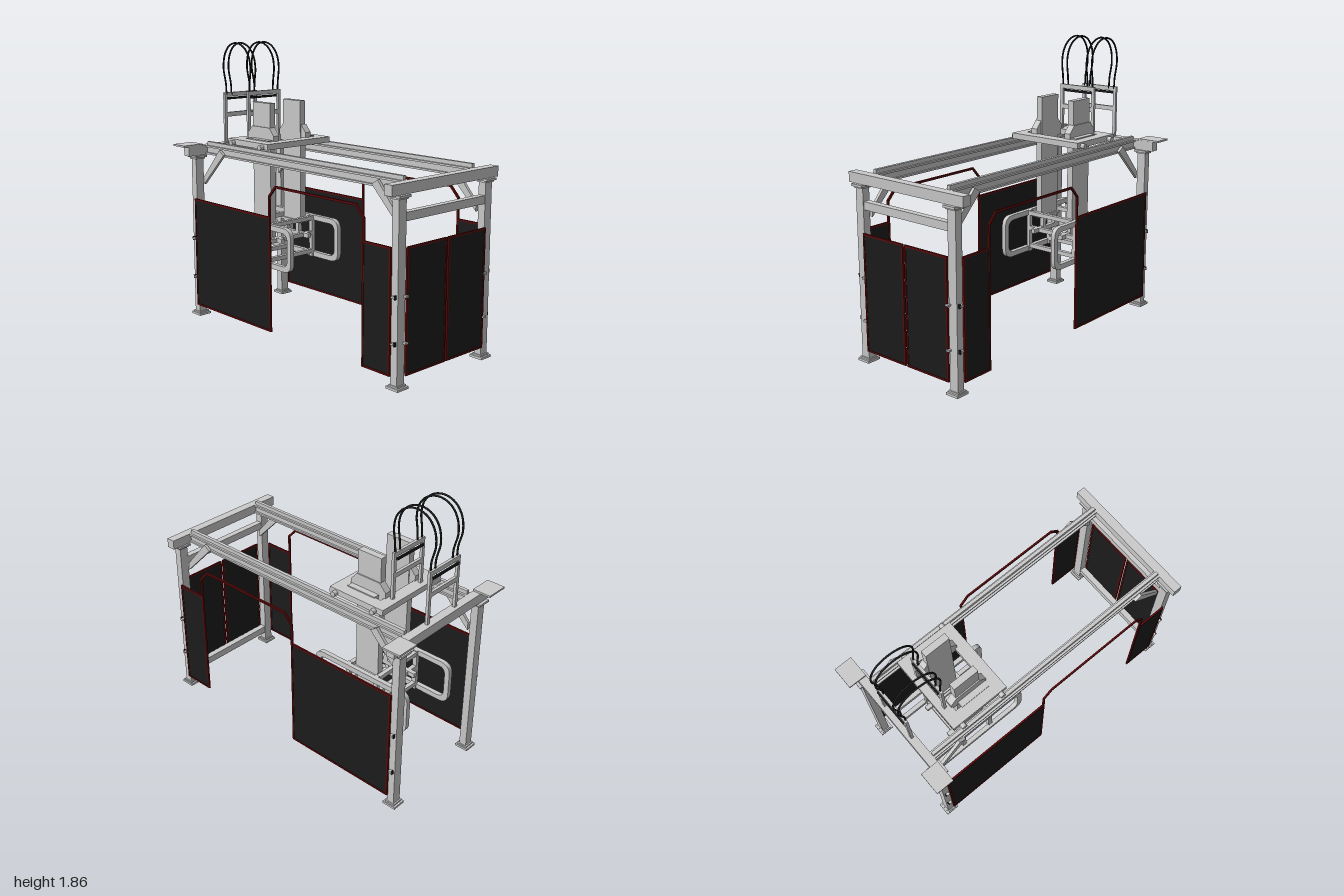
import * as THREE from 'three';

const paint = (color) => new THREE.MeshStandardMaterial({ color });

export function createModel() {
  const model = new THREE.Group();
  const grey = paint(0xcccccc);
  const red = paint(0x5c0a0a);
  const black = paint(0x1c1c1c);

  const add = (name, geometry, material = grey, parent = model) => {
    const mesh = new THREE.Mesh(geometry, material);
    mesh.name = name;
    parent.add(mesh);
    return mesh;
  };
  // Box given by its extents on each axis
  const box = (name, [x0, x1], [y0, y1], [z0, z1], material = grey, parent = model) => {
    const mesh = add(name, new THREE.BoxGeometry(x1 - x0, y1 - y0, z1 - z0), material, parent);
    mesh.position.set((x0 + x1) / 2, (y0 + y1) / 2, (z0 + z1) / 2);
    return mesh;
  };
  // Outline in the x-y plane, extruded along z between z0 and z1
  const plate = (name, points, z0, z1, material = grey, hole = null) => {
    const shape = new THREE.Shape(points.map(([x, y]) => new THREE.Vector2(x, y)));
    if (hole) shape.holes.push(hole);
    const mesh = add(name, new THREE.ExtrudeGeometry(shape, { depth: z1 - z0, bevelEnabled: false }), material);
    mesh.position.z = z0;
    return mesh;
  };
  // Extent of given half width, and extent mirrored to one side
  const around = (c, h) => [c - h, c + h];
  const side = (s, a, b) => (s > 0 ? [a, b] : [-b, -a]);

  // Posts with feet, head plates and panel brackets
  for (const x of [-0.905, 0.952]) {
    for (const s of [1, -1]) {
      const z = s * 0.37;
      box('post', around(x, 0.025), [0.02, 1.1], around(z, 0.03));
      box('footPlate', around(x, 0.046), [0, 0.015], around(z, 0.045));
      box('footCollar', around(x, 0.034), [0.015, 0.025], around(z, 0.038));
      box('headPlate', around(x, 0.046), [1.098, 1.112], around(z, 0.045));
      box('headCollar', around(x, 0.034), [1.088, 1.098], around(z, 0.038));
      for (const y of [0.27, 0.54]) {
        box('panelBracket', around(x, 0.012), around(y, 0.006), side(s, 0.395, 0.418));
        box('bracketBolt', around(x + Math.sign(x) * 0.012, 0.004), around(y, 0.012), side(s, 0.398, 0.416), black);
        if (x > 0) {
          box('endPanelBracket', [0.97, 0.998], around(y, 0.006), around(s * 0.343, 0.012));
        }
      }
    }
  }

  // End beams
  box('endBeam', [-0.933, -0.877], [1.112, 1.175], [-0.457, 0.457]);
  box('endBeam', [0.918, 0.977], [1.112, 1.175], [-0.457, 0.457]);
  box('upperTie', [0.93, 0.972], [0.96, 1.01], [-0.34, 0.34]);
  box('lowerTie', [0.93, 0.972], [0.085, 0.135], [-0.34, 0.34]);

  for (const s of [1, -1]) {
    // Top plates at the left corners
    box('cornerPlate', [-1, -0.878], [1.175, 1.187], side(s, 0.345, 0.495));

    // Long runway beams: web, flanges and running rail
    const beam = [-0.877, 0.918];
    box('runwayWeb', beam, [1.115, 1.175], side(s, 0.283, 0.307));
    box('runwayFlange', beam, [1.115, 1.127], side(s, 0.27, 0.32));
    box('runwayFlange', beam, [1.163, 1.175], side(s, 0.27, 0.32));
    box('runningRail', beam, [1.175, 1.2], side(s, 0.284, 0.306));

    // Corner braces
    for (const [e, x] of [[1, -0.88], [-1, 0.927]]) {
      const pts = [[x, 0.91], [x + e * 0.22, 1.13], [x + e * 0.175, 1.16], [x, 0.96]];
      const [z0, z1] = side(s, 0.318, 0.338);
      plate('cornerBrace', e > 0 ? pts : pts.reverse(), z0, z1);
    }
  }

  // Guard panels: dark sheet within a red frame
  const guard = (width, height) => {
    const g = new THREE.Group();
    g.name = 'guardPanel';
    const t = 0.012, w = width / 2, h = height / 2;
    box('sheet', [-w + t, w - t], [-h + t, h - t], [-0.003, 0.003], black, g);
    for (const e of [1, -1]) {
      box('frameUpright', side(e, w - t, w), [-h, h], [-0.006, 0.006], red, g);
      box('frameRail', [-w + t, w - t], side(e, h - t, h), [-0.006, 0.006], red, g);
    }
    model.add(g);
    return g;
  };
  const bottom = 0.075, top = 0.82, mid = (bottom + top) / 2;
  for (const s of [1, -1]) {
    for (const [x0, x1] of [[-0.887, -0.098], [0.712, 0.932]]) {
      guard(x1 - x0, top - bottom).position.set((x0 + x1) / 2, mid, s * 0.409);
    }
    // Arch over the side opening
    const arch = [[-0.11, 0.82], [-0.098, 0.82], [-0.098, 0.947], [-0.042, 1.009], [0.654, 1.009],
      [0.712, 0.947], [0.712, 0.82], [0.726, 0.82], [0.726, 0.953], [0.66, 1.023], [-0.047, 1.023], [-0.11, 0.953]];
    plate('openingArch', arch, s * 0.409 - 0.006, s * 0.409 + 0.006, red);
    // Half of the end wall
    const end = guard(0.333, top - bottom);
    end.rotation.y = Math.PI / 2;
    end.position.set(0.984, mid, s * 0.173);
  }

  // Carriage frame with rollers
  for (const s of [1, -1]) {
    box('carriageSideBeam', [-0.61, -0.37], [1.2, 1.238], side(s, 0.19, 0.27));
    box('columnSeat', [-0.57, -0.365], [1.2, 1.245], side(s, 0.155, 0.2));
    for (const x of [-0.63, -0.335]) {
      const roller = add('roller', new THREE.CylinderGeometry(0.017, 0.017, 0.03, 20));
      roller.rotation.x = Math.PI / 2;
      roller.position.set(x, 1.213, s * 0.283);
    }
  }
  box('carriageCrossBeam', [-0.692, -0.61], [1.2, 1.238], [-0.27, 0.27]);
  box('carriageCrossBeam', [-0.37, -0.287], [1.2, 1.238], [-0.27, 0.27]);

  // Lifting columns and their guide plates
  for (const s of [1, -1]) {
    box('liftColumn', [-0.575, -0.4], [0.67, 1.48], side(s, 0.108, 0.152));
    const [z0, z1] = side(s, 0.114, 0.16);
    plate('columnGuide', [[-0.62, 1.2], [-0.355, 1.2], [-0.355, 1.272], [-0.4, 1.322],
      [-0.575, 1.322], [-0.62, 1.272]], z0, z1);
  }

  // Hose stands
  for (const [x, y0, y1] of [[-0.902, 1.175, 1.515], [-0.648, 1.238, 1.54]]) {
    for (const s of [1, -1]) {
      box('standUpright', around(x, 0.009), [y0, y1], side(s, 0.118, 0.14));
    }
    box('standTopBar', around(x, 0.009), [y1 - 0.028, y1], [-0.14, 0.14]);
    box('standMiddleBar', around(x, 0.009), [y1 - 0.165, y1 - 0.135], [-0.12, 0.12]);
    box('hoseClampStrip', around(x - 0.013, 0.005), [y1 - 0.05, y1 - 0.035], [-0.12, 0.12], black);
  }

  // Hoses arching between the stands
  const hosePath = [[-0.897, 1.5], [-0.9, 1.57], [-0.924, 1.68], [-0.908, 1.77], [-0.86, 1.83], [-0.785, 1.853],
    [-0.705, 1.83], [-0.65, 1.77], [-0.632, 1.69], [-0.643, 1.6], [-0.648, 1.53]];
  for (const z of [-0.122, -0.08, 0.08, 0.122]) {
    const curve = new THREE.CatmullRomCurve3(hosePath.map(([x, y]) => new THREE.Vector3(x, y, z)));
    add('hose', new THREE.TubeGeometry(curve, 48, 0.006, 8), black);
  }

  // Gripper: two rounded clamp loops joined by a frame
  const roundedOutline = (x0, x1, y0, y1, r, path) => {
    path.moveTo(x0 + r, y0);
    path.lineTo(x1 - r, y0);
    path.quadraticCurveTo(x1, y0, x1, y0 + r);
    path.lineTo(x1, y1 - r);
    path.quadraticCurveTo(x1, y1, x1 - r, y1);
    path.lineTo(x0 + r, y1);
    path.quadraticCurveTo(x0, y1, x0, y1 - r);
    path.lineTo(x0, y0 + r);
    path.quadraticCurveTo(x0, y0, x0 + r, y0);
    return path;
  };
  for (const s of [1, -1]) {
    const loop = roundedOutline(-0.86, -0.125, 0.41, 0.7, 0.07, new THREE.Shape());
    loop.holes.push(roundedOutline(-0.825, -0.16, 0.445, 0.665, 0.05, new THREE.Path()));
    const clamp = add('clampLoop', new THREE.ExtrudeGeometry(loop, { depth: 0.03, bevelEnabled: false, curveSegments: 8 }));
    clamp.position.z = s * 0.207 - 0.015;
    box('gripperSideBar', [-0.66, -0.32], [0.56, 0.59], side(s, 0.1, 0.13));
    box('columnFoot', [-0.59, -0.385], [0.655, 0.67], side(s, 0.095, 0.165));
    for (const x of [-0.6, -0.38]) {
      box('clampStrut', around(x, 0.015), [0.41, 0.7], side(s, 0.18, 0.205));
      box('gripperHanger', around(x + (x < -0.5 ? 0.05 : -0.05), 0.015), [0.59, 0.66], side(s, 0.1, 0.13));
    }
  }
  for (const x of [-0.6, -0.38]) {
    for (const y of [0.45, 0.575, 0.68]) {
      box('gripperCrossBar', around(x, 0.014), around(y, 0.014), [-0.2, 0.2]);
    }
  }

  return model;
}
